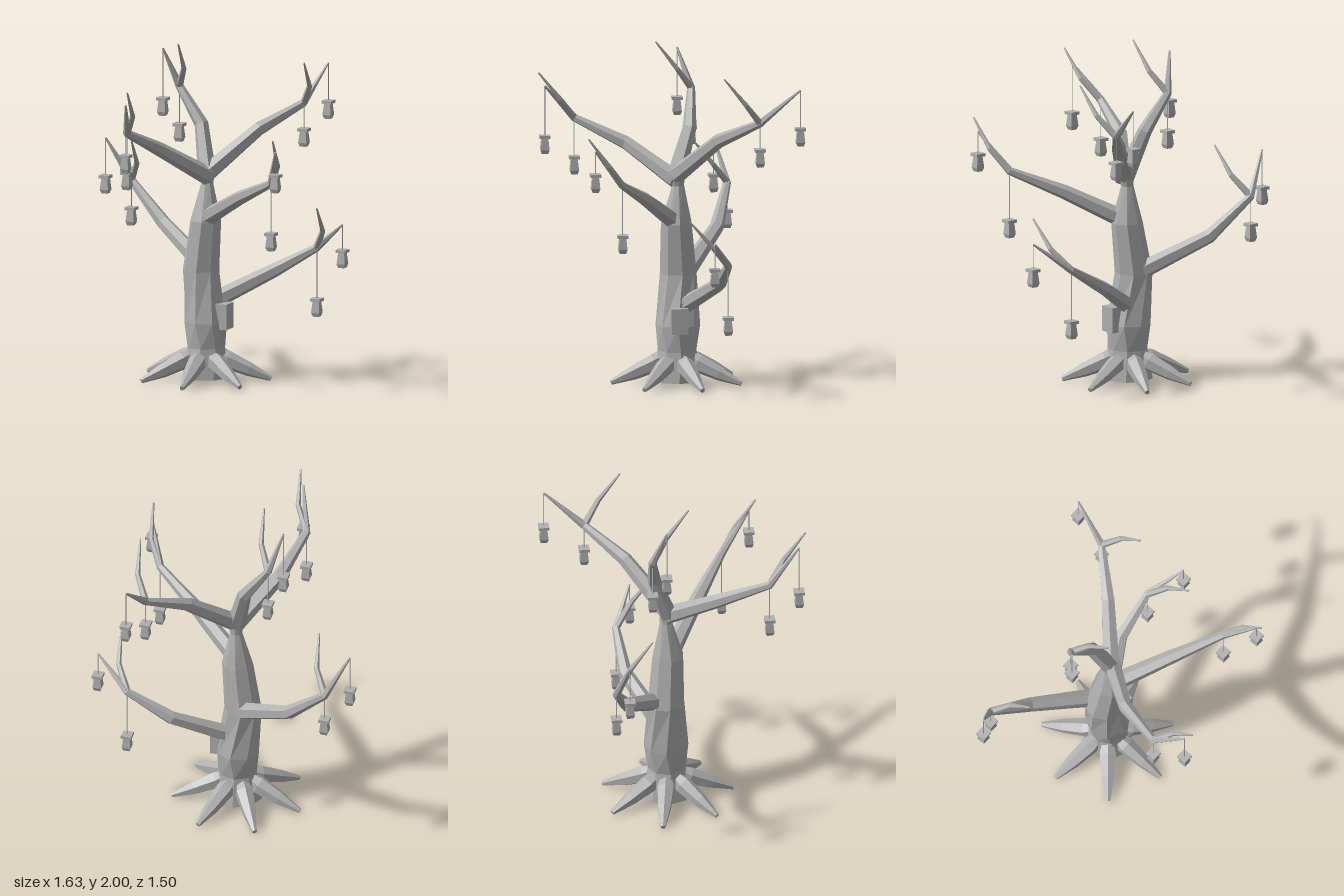
import * as THREE from 'three';

const grey = new THREE.MeshStandardMaterial({ color: 0xb0b0b0, flatShading: true });
grey.name = 'grey';

// Faceted limb through points, with a radius per ring; twists turn level rings (trunk)
function limb(pts, radii, sides, twists) {
  const pos = [], index = [];
  const u = new THREE.Vector3(0, 1, 0), v = new THREE.Vector3(), t = new THREE.Vector3(0, 1, 0);
  if (twists) u.set(1, 0, 0);
  pts.forEach((p, i) => {
    if (!twists) t.subVectors(pts[Math.min(i + 1, pts.length - 1)], pts[Math.max(i - 1, 0)]).normalize();
    u.addScaledVector(t, -u.dot(t)).normalize();
    v.crossVectors(t, u);
    for (let j = 0; j < sides; j++) {
      const a = (j / sides) * Math.PI * 2 + (twists ? twists[i] : 0);
      const q = p.clone()
        .addScaledVector(u, Math.cos(a) * radii[i])
        .addScaledVector(v, Math.sin(a) * radii[i]);
      pos.push(q.x, q.y, q.z);
    }
  });
  const last = (pts.length - 1) * sides;
  for (let i = 0; i < last; i += sides) {
    for (let j = 0; j < sides; j++) {
      const k = (j + 1) % sides;
      index.push(i + j, i + k, i + sides + j, i + k, i + sides + k, i + sides + j);
    }
  }
  // end caps
  for (let j = 1; j < sides - 1; j++) {
    index.push(0, j + 1, j, last, last + j, last + j + 1);
  }
  const g = new THREE.BufferGeometry();
  g.setAttribute('position', new THREE.Float32BufferAttribute(pos, 3));
  g.setIndex(index);
  const flat = g.toNonIndexed();
  flat.computeVertexNormals();
  return flat;
}

const vec = (x, y, z) => new THREE.Vector3(x, y, z);

function add(parent, name, geometry, x = 0, y = 0, z = 0) {
  const m = new THREE.Mesh(geometry, grey);
  m.name = name;
  m.position.set(x, y, z);
  parent.add(m);
}

// Square lantern, widest low down, hung on a string below a branch point
const bodyProfile = [vec(0, -0.108), vec(0.026, -0.108), vec(0.037, -0.085), vec(0.027, -0.018), vec(0, -0.018)];
const lanternBody = new THREE.LatheGeometry(bodyProfile, 4).rotateY(Math.PI / 4);
const lanternCap = new THREE.BoxGeometry(0.062, 0.018, 0.062);

function lantern(hook, drop) {
  const g = new THREE.Group();
  g.name = 'lantern';
  g.position.set(hook.x, hook.y - drop, hook.z);
  add(g, 'lanternBody', lanternBody);
  add(g, 'lanternCap', lanternCap, 0, -0.009, 0);
  add(g, 'lanternString', new THREE.CylinderGeometry(0.003, 0.003, drop, 4), 0, drop / 2, 0);
  return g;
}

// Bough that bends at mid and fork, with an elbowed twig and two lanterns
function branch(start, mid, fork, tip, twigTip, tipDrop, forkDrop) {
  const g = new THREE.Group();
  g.name = 'branch';
  add(g, 'bough', limb([start, mid, fork, tip], [0.055, 0.042, 0.024, 0.006], 6));
  const elbow = twigTip.clone().sub(fork).multiply(vec(0.78, 0.43, 0.41)).add(fork);
  add(g, 'twig', limb([fork, elbow, twigTip], [0.022, 0.016, 0.005], 6));
  g.add(lantern(tip, tipDrop), lantern(fork, forkDrop));
  return g;
}

export function createModel() {
  const tree = new THREE.Group();
  tree.name = 'lanternTree';

  // Twisted trunk
  const trunkPath = [
    vec(-0.03, 0.02, -0.05), vec(-0.02, 0.2, -0.05), vec(-0.025, 0.35, -0.055), vec(-0.057, 0.65, -0.06),
    vec(-0.02, 0.95, -0.045), vec(-0.015, 1.17, -0.055), vec(-0.005, 1.25, -0.05),
  ];
  add(tree, 'trunk', limb(trunkPath, [0.14, 0.115, 0.13, 0.11, 0.092, 0.036, 0.045], 8,
    [0, 0.1, 0.7, 1.7, 1.7, 2.4, 2.6]));

  // Seven spreading roots
  for (let i = 0; i < 7; i++) {
    const a = ((35 + i * 360 / 7) * Math.PI) / 180;
    const at = (d, y) => vec(-0.03 + Math.cos(a) * d, y, -0.05 + Math.sin(a) * d);
    add(tree, 'root', limb([at(0.05, 0.17), at(0.13, 0.125), at(0.26, 0.07), at(0.39, 0.018)],
      [0.03, 0.055, 0.042, 0.015], 6));
  }

  // Small box on the trunk's side
  add(tree, 'trunkBox', new THREE.BoxGeometry(0.07, 0.15, 0.1), 0.095, 0.39, -0.05);

  // Three lower branches
  tree.add(
    branch(vec(-0.04, 0.65, -0.1), vec(-0.41, 0.86, -0.325), vec(-0.65, 1.08, -0.41),
      vec(-0.785, 1.33, -0.345), vec(-0.555, 1.36, -0.19), 0.22, 0.16),
    branch(vec(-0.02, 0.45, -0.07), vec(0.32, 0.64, -0.26), vec(0.58, 0.79, -0.285),
      vec(0.785, 0.955, -0.185), vec(0.68, 1.07, -0.05), 0.145, 0.3),
    branch(vec(-0.02, 0.96, -0.03), vec(0.29, 1.14, 0.165), vec(0.555, 1.27, 0.33),
      vec(0.655, 1.49, 0.5), vec(0.655, 1.565, 0.54), 0.13, 0.29),
  );
  // Three crown branches
  tree.add(
    branch(vec(0, 1.21, -0.04), vec(-0.19, 1.4, 0.23), vec(-0.275, 1.54, 0.525),
      vec(-0.205, 1.74, 0.705), vec(-0.178, 1.825, 0.745), 0.29, 0.225),
    branch(vec(-0.01, 1.23, -0.04), vec(0.22, 1.47, -0.27), vec(0.41, 1.6, -0.49),
      vec(0.465, 1.8, -0.72), vec(0.505, 1.88, -0.27), 0.22, 0.15),
    branch(vec(-0.01, 1.22, -0.04), vec(-0.085, 1.5, -0.13), vec(-0.235, 1.71, -0.155),
      vec(-0.308, 1.94, -0.08), vec(-0.15, 2, 0.062), 0.29, 0.22),
  );
  return tree;
}
